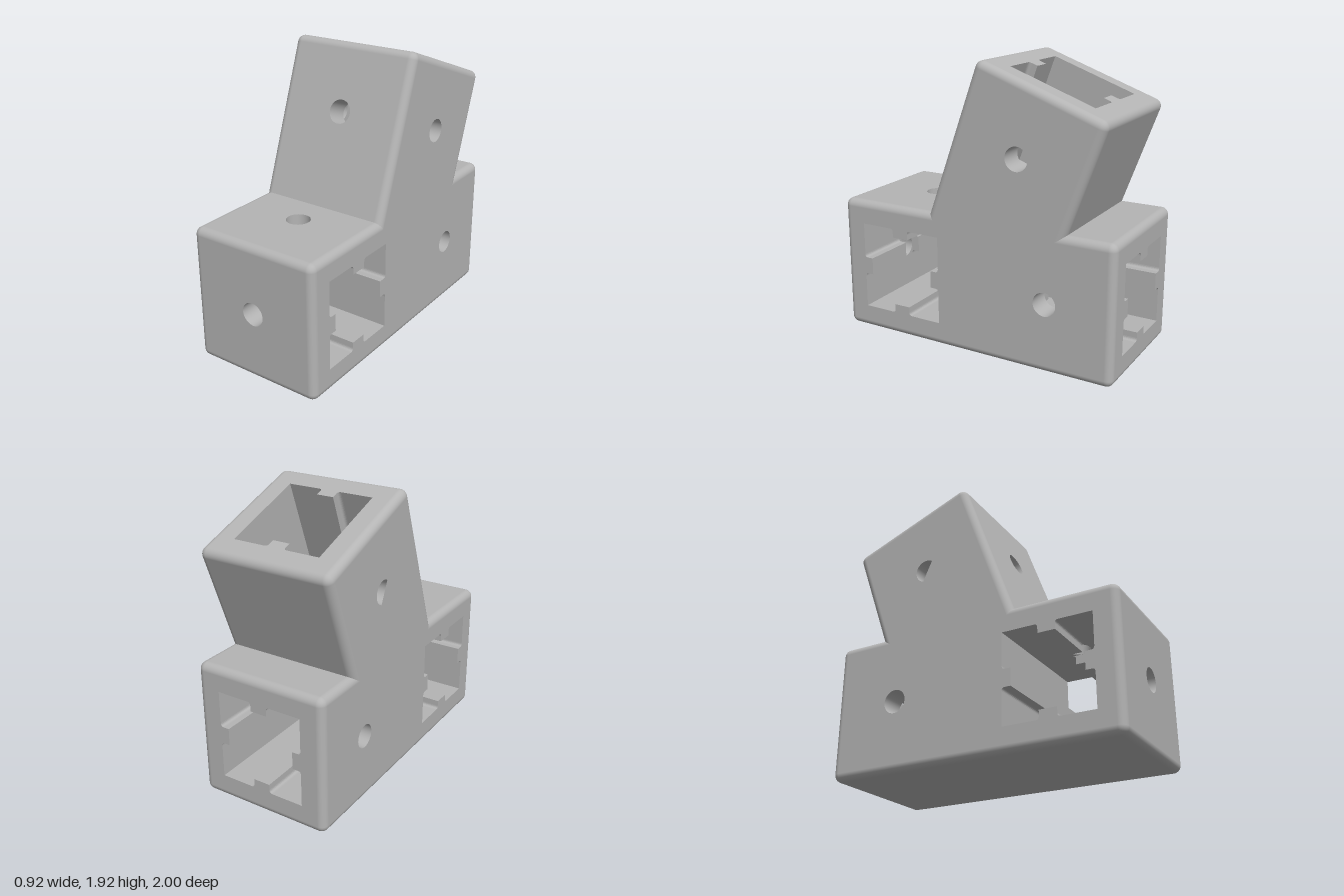
import * as THREE from 'three';
import { RoundedBoxGeometry } from 'three/addons/geometries/RoundedBoxGeometry.js';

const HALF = 0.46;      // half width of each arm
const EDGE = 0.05;      // rounded edge radius
const BORE = 0.3;       // half width of each socket
const SCREW = 0.078;    // screw hole radius
const TILT = -20 * Math.PI / 180;

const plastic = new THREE.MeshStandardMaterial({ color: 0xb4b4b4, side: THREE.DoubleSide });
plastic.name = 'grey plastic';

function add(parent, name, geometry) {
  const mesh = new THREE.Mesh(geometry, plastic);
  mesh.name = name;
  parent.add(mesh);
  return mesh;
}

function rect(x0, y0, x1, y1, Type = THREE.Shape) {
  return new Type([[x0, y0], [x1, y0], [x1, y1], [x0, y1]].map(p => new THREE.Vector2(...p)));
}

function round(x, y) {
  return new THREE.Path().absarc(x, y, SCREW, 0, Math.PI * 2, true);
}

function square(x, y) {
  return rect(x - BORE, y - BORE, x + BORE, y + BORE, THREE.Path);
}

// Flat face with cut-outs
function panel(w, h, holes = []) {
  const shape = rect(-w / 2, -h / 2, w / 2, h / 2);
  shape.holes.push(...holes);
  return new THREE.ShapeGeometry(shape, 24);
}

// Rounded edges and corners only: the flat faces are left out
function roundedFrame(w, h, d) {
  const source = new RoundedBoxGeometry(w, h, d, 5, EDGE);
  const p = source.attributes.position.array, n = source.attributes.normal.array;
  const positions = [], normals = [];
  for (let i = 0; i < p.length; i += 9) {
    const flat = [0, 3, 6].every(k =>
      Math.max(Math.abs(n[i + k]), Math.abs(n[i + k + 1]), Math.abs(n[i + k + 2])) > 0.9999);
    if (flat) continue;
    positions.push(...p.slice(i, i + 9));
    normals.push(...n.slice(i, i + 9));
  }
  const g = new THREE.BufferGeometry();
  g.setAttribute('position', new THREE.Float32BufferAttribute(positions, 3));
  g.setAttribute('normal', new THREE.Float32BufferAttribute(normals, 3));
  return g;
}

// Rounded block whose faces carry the given cut-outs; a null face is left open
function block(parent, name, [w, h, d], faces, centre, reshape = g => g) {
  const a = w - 2 * EDGE, b = h - 2 * EDGE, c = d - 2 * EDGE, q = Math.PI / 2;
  const put = (label, g) => add(parent, name + label, reshape(g.translate(...centre)));
  put('Edges', roundedFrame(w, h, d));
  const sides = {
    Front: [a, b, g => g.translate(0, 0, d / 2)],
    Back: [a, b, g => g.rotateY(2 * q).translate(0, 0, -d / 2)],
    Left: [c, b, g => g.rotateY(q).translate(w / 2, 0, 0)],
    Right: [c, b, g => g.rotateY(-q).translate(-w / 2, 0, 0)],
    Top: [a, c, g => g.rotateX(-q).translate(0, h / 2, 0)],
    Bottom: [a, c, g => g.rotateX(q).translate(0, -h / 2, 0)]
  };
  for (const [side, [u, v, place]] of Object.entries(sides)) {
    if (faces[side] !== null) put(side, place(panel(u, v, faces[side])));
  }
}

// Guide rib with filleted roots, running from z = from to z = to
function ribGeometry(from, to) {
  const low = BORE - 0.06, f = 0.022, s = new THREE.Shape();
  s.moveTo(-0.058 - f, BORE);
  s.quadraticCurveTo(-0.058, BORE, -0.058, BORE - f);
  s.lineTo(-0.058, low);
  s.lineTo(0.058, low);
  s.lineTo(0.058, BORE - f);
  s.quadraticCurveTo(0.058, BORE, 0.058 + f, BORE);
  return new THREE.ExtrudeGeometry(s, { depth: to - from, bevelEnabled: false, curveSegments: 5 })
    .translate(0, 0, from);
}

// Square socket opening at z = 0; walls 0 to 3 turn a quarter each about z
function socket(name, { depth, ribs, screws, screwAt, floor }) {
  const group = new THREE.Group();
  group.name = name;
  for (let k = 0; k < 4; k++) {
    const side = new THREE.Group();
    side.name = name + 'Side';
    side.rotation.z = k * Math.PI / 2;
    group.add(side);
    const pierced = screws.includes(k);
    const wall = rect(-BORE, -depth, BORE, 0);
    if (pierced) {
      wall.holes.push(round(0, -screwAt));
      const t = HALF - BORE;
      add(side, 'screwHole', new THREE.CylinderGeometry(SCREW, SCREW, t, 48, 1, true)
        .translate(0, BORE + t / 2, -screwAt));
    }
    add(side, 'socketWall', new THREE.ShapeGeometry(wall, 24).rotateX(Math.PI / 2).translate(0, BORE, 0));
    if (!ribs.includes(k)) continue;
    // Ribs are interrupted where a screw passes
    const spans = pierced
      ? [[-depth, -screwAt - SCREW], [-screwAt + SCREW, 0]]
      : [[-depth, 0]];
    for (const span of spans) add(side, 'guideRib', ribGeometry(...span));
  }
  if (floor) add(group, 'socketFloor', new THREE.PlaneGeometry(2 * BORE, 2 * BORE).translate(0, 0, -depth));
  return group;
}

export function createModel() {
  const model = new THREE.Group();
  model.name = 'railConnector';

  // Base block with a crosswise socket in front and a lengthwise one behind
  const base = new THREE.Group();
  base.name = 'base';
  model.add(base);
  block(base, 'base', [2 * HALF, 2 * HALF, 2], {
    Front: [round(0, 0)],
    Back: [square(0, 0)],
    Left: [square(-0.54, 0), round(0.54, 0)],
    Right: [square(0.54, 0), round(-0.54, 0)],
    Top: [round(0, -0.54)],
    Bottom: []
  }, [0, HALF, 0]);

  const cross = socket('crossSocket',
    { depth: 2 * HALF, ribs: [0, 1, 2, 3], screws: [0, 1], screwAt: HALF, floor: false });
  cross.rotation.y = Math.PI / 2;
  cross.position.set(HALF, HALF, 0.54);
  const rear = socket('rearSocket',
    { depth: 0.9, ribs: [0, 1, 2, 3], screws: [1, 3], screwAt: 0.46, floor: true });
  rear.rotation.y = Math.PI;
  rear.position.set(0, HALF, -1);
  base.add(cross, rear);

  // Leaning arm, its foot cut level just inside the base
  const arm = new THREE.Group();
  arm.name = 'leaningArm';
  arm.position.set(0, 1.35, -0.34);
  arm.rotation.x = TILT;
  model.add(arm);
  const length = 1.2, top = 0.45, mid = top - length / 2;
  const cutFoot = g => {
    const p = g.attributes.position;
    for (let i = 0; i < p.count; i++) {
      if (p.getY(i) < -0.3) p.setY(i, (0.8 - 1.35 + p.getZ(i) * Math.sin(TILT)) / Math.cos(TILT));
    }
    return g;
  };
  block(arm, 'arm', [2 * HALF, length, 2 * HALF], {
    Front: [round(0, -mid)],
    Back: [],
    Left: [round(0, -mid)],
    Right: [round(0, -mid)],
    Top: [square(0, 0)],
    Bottom: null
  }, [0, mid, 0], cutFoot);

  const upper = socket('armSocket',
    { depth: 0.78, ribs: [0, 2], screws: [1, 2, 3], screwAt: top, floor: true });
  upper.rotation.x = -Math.PI / 2;
  upper.position.y = top;
  arm.add(upper);

  return model;
}
